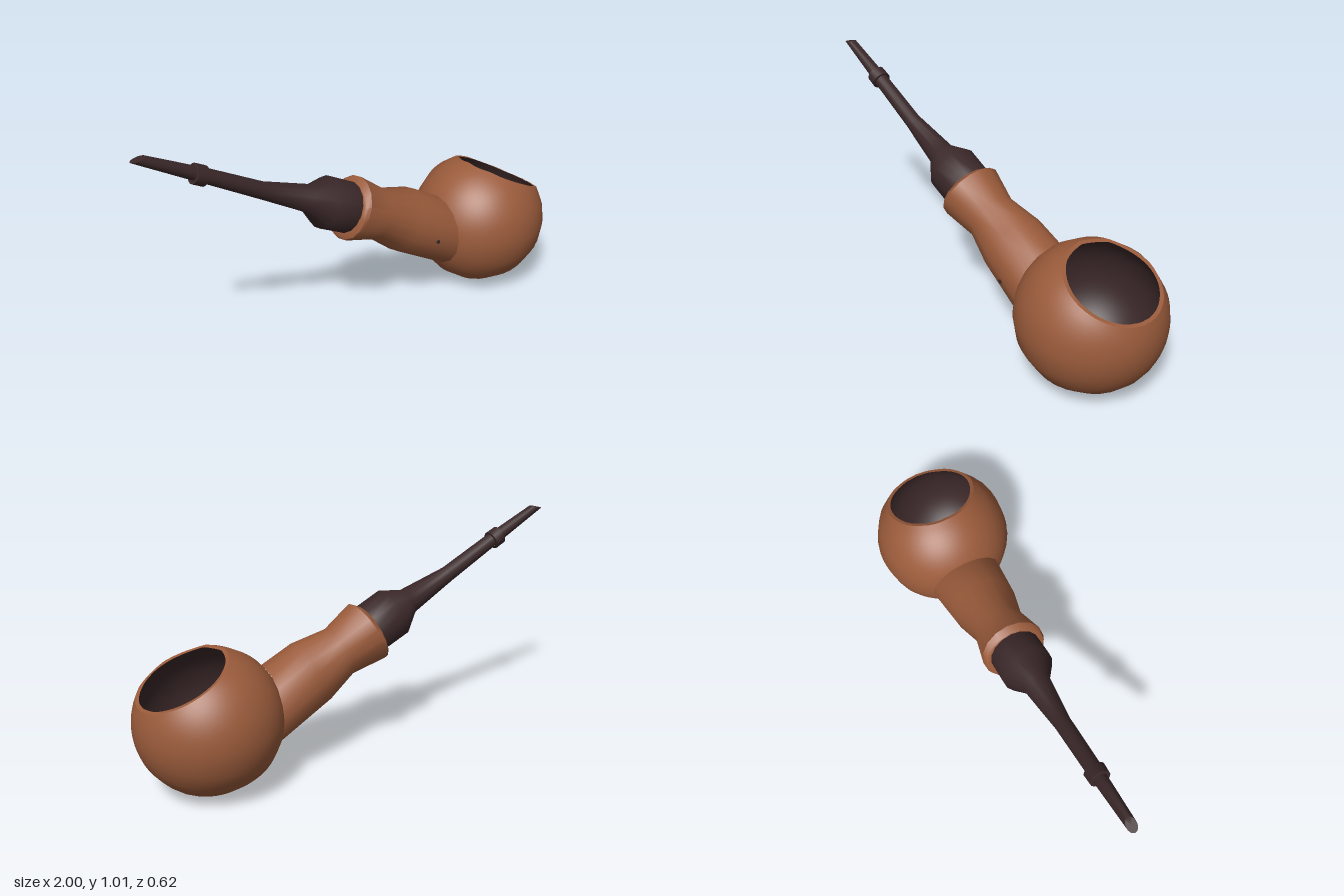
import * as THREE from 'three';
import { toCreasedNormals } from 'three/addons/utils/BufferGeometryUtils.js';

const SIDES = 16;
const TILT = THREE.MathUtils.degToRad(26);
const wood = new THREE.MeshStandardMaterial({ name: 'brown wood', color: 0x9a5b3b });
const ebony = new THREE.MeshStandardMaterial({ name: 'dark ebony', color: 0x3a2728 });

// Skin over oval rings running towards +x: [topX, topY, bottomX, bottomY, half width in z]
function loft(rings, crease) {
  const pos = [], index = [];
  for (const [tx, ty, bx, by, w] of rings) {
    for (let j = 0; j < SIDES; j++) {
      const a = (j / SIDES) * Math.PI * 2, c = Math.cos(a) / 2;
      pos.push((tx + bx) / 2 + c * (tx - bx), (ty + by) / 2 + c * (ty - by), w * Math.sin(a));
    }
  }
  for (let i = 0; i < rings.length - 1; i++) {
    for (let j = 0; j < SIDES; j++) {
      const a = i * SIDES + j, b = i * SIDES + ((j + 1) % SIDES);
      index.push(a, b, a + SIDES, b, b + SIDES, a + SIDES);
    }
  }
  // cap on the first ring
  const [tx, ty, bx, by] = rings[0];
  pos.push((tx + bx) / 2, (ty + by) / 2, 0);
  for (let j = 0; j < SIDES; j++) index.push(pos.length / 3 - 1, (j + 1) % SIDES, j);
  const g = new THREE.BufferGeometry();
  g.setAttribute('position', new THREE.Float32BufferAttribute(pos, 3));
  g.setIndex(index);
  return toCreasedNormals(g, crease);
}

// Turned piece around the tilted bowl axis, pressed to a 16-sided outline around x
function bowlPart(points) {
  const g = new THREE.LatheGeometry(points, 64);
  g.rotateZ(-TILT);
  const p = g.attributes.position, step = (Math.PI * 2) / SIDES;
  for (let i = 0; i < p.count; i++) {
    const phi = Math.atan2(p.getZ(i), p.getY(i)) + Math.PI * 2;
    const f = Math.cos(step / 2) / Math.cos((phi % step) - step / 2);
    p.setXYZ(i, p.getX(i), p.getY(i) * f, p.getZ(i) * f);
  }
  return g.translate(0.69, 0.312, 0);
}

// Arc of a sphere from the bottom pole up to the rim
function arc(radius, rimRadius) {
  const end = Math.PI - Math.asin(rimRadius / radius);
  return Array.from({ length: 29 }, (_, i) => {
    const a = (end * i) / 28;
    return new THREE.Vector2(radius * Math.sin(a), -radius * Math.cos(a));
  });
}

export function createModel() {
  const model = new THREE.Group();
  model.name = 'smokingPipe';
  const add = (name, geometry, material) => {
    const mesh = new THREE.Mesh(geometry, material);
    mesh.name = name;
    model.add(mesh);
    return mesh;
  };

  // Bowl: outer wall, thin lip and dark hollow
  const outer = arc(0.309, 0.206);
  const inner = arc(0.298, 0.19).reverse();
  add('bowl', bowlPart(outer), wood);
  add('bowlLip', bowlPart([outer[outer.length - 1], inner[0]]), wood);
  add('bowlHollow', bowlPart(inner), ebony);

  // Shank with a chamfered collar, flaring into the bowl
  add('shank', loft([
    [-0.03, 0.672, -0.122, 0.455, 0.118],
    [-0.025, 0.675, -0.12, 0.435, 0.137],
    [0.005, 0.688, -0.115, 0.43, 0.143],
    [0.13, 0.597, 0.04, 0.387, 0.113],
    [0.29, 0.558, 0.16, 0.293, 0.146],
    [0.432, 0.483, 0.432, 0.148, 0.167],
  ], 0.7), wood);

  // Stem: slanted bite end, slim shaft, swelling into the collar
  add('stem', loft([
    [-0.94, 1.014, -1, 1.0, 0.022],
    [-0.745, 0.925, -0.77, 0.873, 0.029],
    [-0.7, 0.905, -0.725, 0.849, 0.033],
    [-0.46, 0.786, -0.495, 0.722, 0.036],
    [-0.24, 0.715, -0.29, 0.607, 0.06],
    [-0.14, 0.726, -0.235, 0.52, 0.114],
    [-0.02, 0.668, -0.112, 0.462, 0.113],
  ], 0.7), ebony);

  // Ring near the bite end
  add('stemRing', loft([
    [-0.752, 0.93, -0.772, 0.868, 0.03],
    [-0.746, 0.937, -0.777, 0.86, 0.043],
    [-0.703, 0.916, -0.735, 0.84, 0.045],
    [-0.705, 0.908, -0.728, 0.848, 0.03],
  ], 0.7), ebony);

  // Tiny inlaid stud on the shank
  const stud = add('shankStud', new THREE.CylinderGeometry(0.009, 0.009, 0.05, 8), ebony);
  stud.rotation.x = Math.PI / 2;
  stud.position.set(0.32, 0.345, 0.131);

  return model;
}
